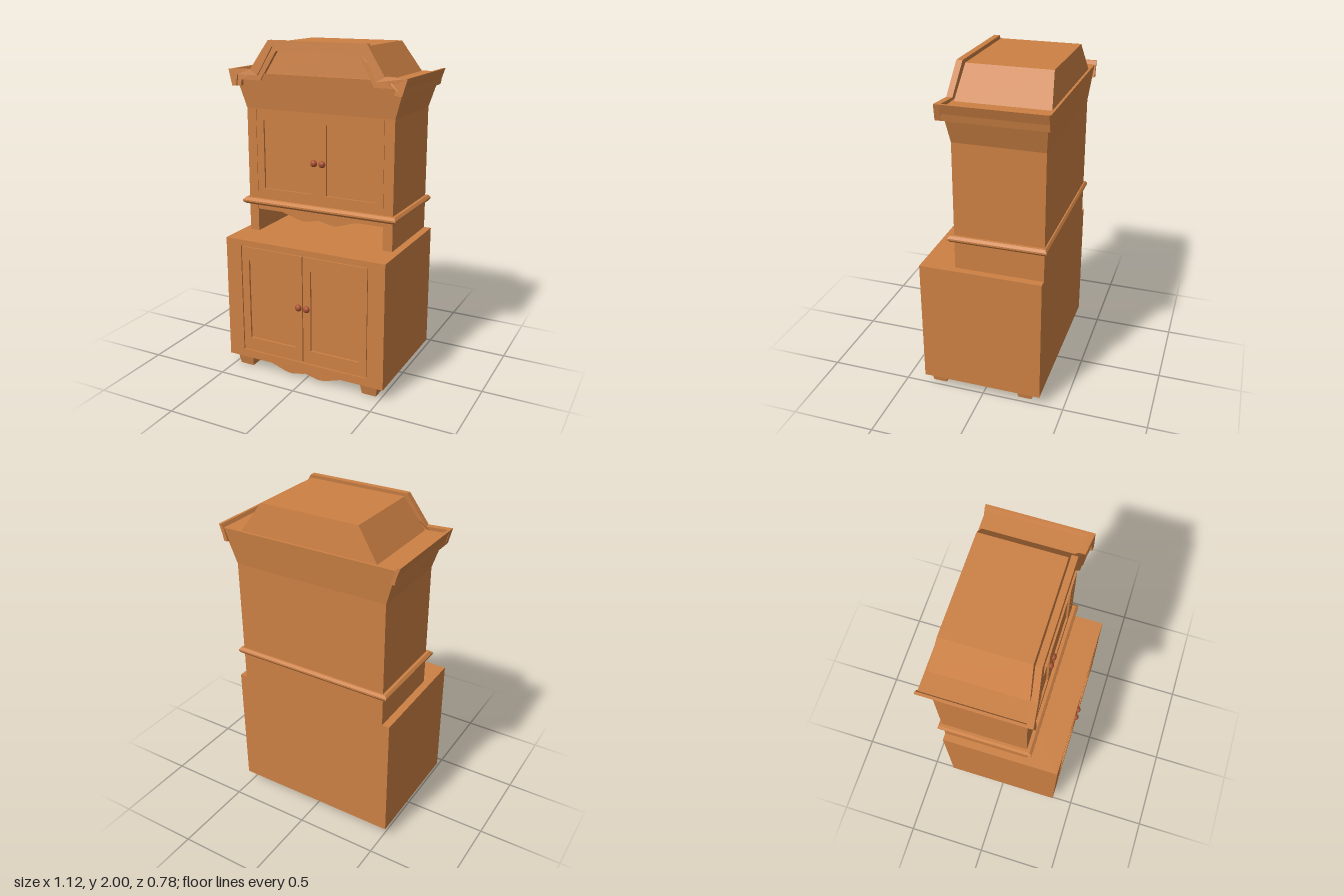
import * as THREE from 'three';

const wood = new THREE.MeshStandardMaterial({ color: 0xcc8044 });
const knobWood = new THREE.MeshStandardMaterial({ color: 0xa84f30 });

export function createModel() {
  const root = new THREE.Group();
  root.name = 'cupboard';

  const add = (name, geometry, material = wood) => {
    const mesh = new THREE.Mesh(geometry, material);
    mesh.name = name;
    root.add(mesh);
    return mesh;
  };

  // Solid between a lower and an upper rectangle, each [x0, x1, z0, z1]
  const frustum = (name, y0, y1, low, high = low) => {
    const g = new THREE.BoxGeometry(1, 1, 1);
    const p = g.attributes.position;
    for (let i = 0; i < p.count; i++) {
      const top = p.getY(i) > 0;
      const r = top ? high : low;
      p.setXYZ(i, p.getX(i) > 0 ? r[1] : r[0], top ? y1 : y0, p.getZ(i) > 0 ? r[3] : r[2]);
    }
    const flat = g.toNonIndexed();
    flat.computeVertexNormals();
    return add(name, flat);
  };

  const rect = (x0, x1, y0, y1) =>
    [[x0, y0], [x1, y0], [x1, y1], [x0, y1]].map(([x, y]) => new THREE.Vector2(x, y));

  // Flat board cut from an outline with holes, from z0 to z1
  const boardGeometry = (outline, z0, z1, holes = []) => {
    const shape = new THREE.Shape(outline);
    for (const h of holes) shape.holes.push(new THREE.Path(h));
    return new THREE.ExtrudeGeometry(shape, { depth: z1 - z0, bevelEnabled: false }).translate(0, 0, z0);
  };
  const board = (name, ...args) => add(name, boardGeometry(...args));

  // Mirrors a half outline (x >= 0, running right to left) across x = 0
  const mirrored = (half) => {
    const right = half.map(([x, y]) => new THREE.Vector2(x, y));
    const left = half.filter(([x]) => x > 0).reverse().map(([x, y]) => new THREE.Vector2(-x, y));
    return [...right, ...left];
  };

  // Wavy apron: flat top edge, scalloped lower edge
  const apron = (name, w, top, edge, dip, mid, z0, z1) => {
    const h = edge - dip;
    const wave = new THREE.SplineCurve([
      [0.25, edge], [0.2, edge - h * 0.35], [0.14, edge - h * 0.85],
      [0.09, dip], [0.04, (dip + mid) / 2], [0, mid],
    ].map(([x, y]) => new THREE.Vector2(x, y))).getPoints(15).map((v) => [v.x, v.y]);
    wave[wave.length - 1][0] = 0;
    board(name, mirrored([[w, top], [w, edge], ...wave]), z0, z1);
  };

  const knobs = (name, y, z) => {
    for (const s of [-1, 1]) {
      const k = add(name, new THREE.SphereGeometry(0.021, 16, 12), knobWood);
      k.scale.z = 0.9;
      k.position.set(s * 0.027, y, z);
    }
  };

  // Base cabinet with framed front
  frustum('baseCabinet', 0.07, 0.84, [-0.52, 0.52, -0.36, 0.355]);
  board('baseFrontFrame', rect(-0.52, 0.52, 0.07, 0.84), 0.355, 0.37, [rect(-0.418, 0.418, 0.12, 0.803)]);
  for (const s of [-1, 1]) {
    const span = (a, b) => (s > 0 ? [a, b] : [-b, -a]);
    board('baseDoor', rect(...span(0.003, 0.413), 0.125, 0.798), 0.355, 0.368,
      [rect(...span(0.052, 0.365), 0.21, 0.715)]);
  }
  knobs('baseKnob', 0.475, 0.37);

  // Tapered feet and scalloped apron
  for (const s of [-1, 1]) {
    for (const z of [0.295, -0.255]) {
      const r = (w, d) => [s * 0.42 - w, s * 0.42 + w, z - d, z + d];
      frustum('foot', 0, 0.07, r(0.045, 0.042), r(0.055, 0.055));
    }
  }
  apron('baseApron', 0.38, 0.07, 0.055, 0.015, 0.035, 0.325, 0.342);

  // Open niche with side walls, back and scalloped apron
  for (const s of [-1, 1]) {
    const x = s * 0.445;
    frustum('nicheSide', 0.84, 1.03, [x - 0.03, x + 0.03, -0.36, 0.165]);
  }
  frustum('nicheBack', 0.84, 1.03, [-0.42, 0.42, -0.36, -0.34]);
  apron('nicheApron', 0.416, 1.03, 0.98, 0.94, 0.96, 0.148, 0.163);

  // Waist moulding
  const low = [-0.492, 0.492, -0.368, 0.185];
  const wide = [-0.505, 0.505, -0.378, 0.2];
  frustum('waistMouldingLower', 1.012, 1.026, low, wide);
  frustum('waistMouldingMiddle', 1.026, 1.036, wide);
  frustum('waistMouldingUpper', 1.036, 1.05, wide, low);

  // Upper cabinet with a pair of recessed panels
  frustum('upperCabinet', 1.02, 1.6, [-0.475, 0.475, -0.36, 0.152]);
  board('upperFrontFrame', rect(-0.475, 0.475, 1.02, 1.6), 0.152, 0.165, [rect(-0.415, 0.415, 1.05, 1.599)]);
  board('upperDoors', rect(-0.413, 0.413, 1.05, 1.599), 0.152, 0.1645,
    [rect(-0.365, -0.052, 1.115, 1.535), rect(0.052, 0.365, 1.115, 1.535)]);
  knobs('upperKnob', 1.305, 0.167);

  // Flared crown and hipped top
  frustum('flaredCrown', 1.6, 1.81, [-0.475, 0.475, -0.36, 0.165], [-0.54, 0.54, -0.383, 0.188]);
  frustum('hippedTop', 1.8, 1.985, [-0.43, 0.43, -0.37, 0.163], [-0.3, 0.3, -0.345, 0.14]);

  // Arched front cornice in two steps, leaning back and swept out at the ends
  const outer = [[0.31, 2.0], [0.425, 1.83], [0.562, 1.83], [0.535, 1.735]];
  const steps = [
    ['corniceBackStep', [[0.485, 1.735], [0.485, 1.77], [0.36, 1.77], [0.26, 1.94]], -0.035, -0.012],
    ['corniceFrontStep', [[0.51, 1.735], [0.505, 1.8], [0.375, 1.8], [0.283, 1.965]], -0.012, 0],
  ];
  for (const [name, inner, z0, z1] of steps) {
    const half = [...outer, ...inner];
    const g = boardGeometry(mirrored(half), z0, z1);
    const p = g.attributes.position;
    for (let i = 0; i < p.count; i++) {
      const sweep = Math.max(0, Math.abs(p.getX(i)) - 0.425) * 0.13;
      p.setZ(i, p.getZ(i) + 0.203 - (p.getY(i) - 1.83) * 0.1 + sweep);
    }
    g.computeVertexNormals();
    add(name, g);
  }

  // Side cornices
  const profile = [[0.51, 1.735], [0.535, 1.735], [0.543, 1.775], [0.562, 1.83], [0.546, 1.83], [0.53, 1.8]];
  for (const s of [-1, 1]) {
    const pts = profile.map(([x, y]) => new THREE.Vector2(s * x, y));
    board('sideCornice', pts, -0.39, 0.205);
  }
  return root;
}
